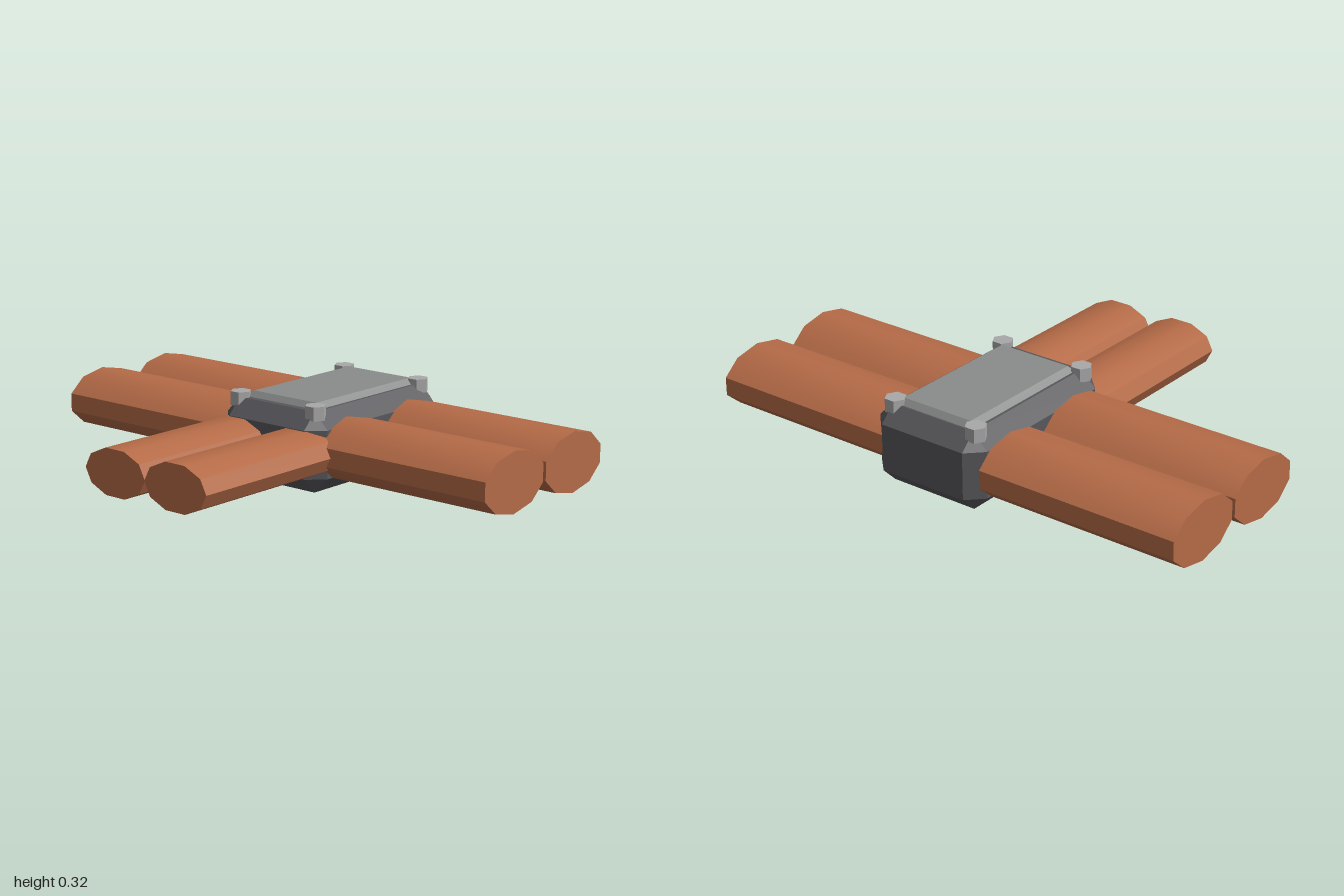
import * as THREE from 'three';
import { toCreasedNormals } from 'three/addons/utils/BufferGeometryUtils.js';
import { ConvexGeometry } from 'three/addons/geometries/ConvexGeometry.js';

const mat = (name, color) => {
  const m = new THREE.MeshStandardMaterial({ color });
  m.name = name;
  return m;
};

// Box with every edge and corner cut off by c
function chamferedBox(w, h, d, c) {
  const points = [];
  for (const sx of [-1, 1]) for (const sy of [-1, 1]) for (const sz of [-1, 1]) {
    const x = w / 2, y = h / 2, z = d / 2;
    points.push(
      new THREE.Vector3(sx * x, sy * (y - c), sz * (z - c)),
      new THREE.Vector3(sx * (x - c), sy * y, sz * (z - c)),
      new THREE.Vector3(sx * (x - c), sy * (y - c), sz * z));
  }
  return new ConvexGeometry(points);
}

// Flattened ten-sided bar lying along z
function bar(rx, ry, length, startAngle) {
  const g = new THREE.CylinderGeometry(1, 1, length, 10, 1, false, startAngle);
  g.rotateX(Math.PI / 2).scale(rx, ry, 1);
  return toCreasedNormals(g, 0.58);
}

export function createModel() {
  const group = new THREE.Group();
  const copper = mat('copper', 0xb56b47);
  const darkGrey = mat('darkGrey', 0x58585c);
  const midGrey = mat('midGrey', 0x8a8c8c);
  const lightGrey = mat('lightGrey', 0xa8a8a8);

  const add = (name, geometry, material, x, y, z) => {
    const mesh = new THREE.Mesh(geometry, material);
    mesh.name = name;
    mesh.position.set(x, y, z);
    group.add(mesh);
    return mesh;
  };

  // Junction housing
  add('housing', chamferedBox(0.74, 0.3, 0.48, 0.06), darkGrey, 0.31, 0.15, 0.04);

  // Bevelled cover plate: tapered four-sided block
  const plate = new THREE.CylinderGeometry(Math.SQRT1_2, Math.SQRT1_2, 0.022, 4, 1, false, Math.PI / 4).toNonIndexed();
  const p = plate.attributes.position;
  for (let i = 0; i < p.count; i++) {
    const inset = p.getY(i) > 0 ? 0.02 : 0;
    p.setX(i, Math.sign(p.getX(i)) * (0.295 - inset));
    p.setZ(i, Math.sign(p.getZ(i)) * (0.17 - inset));
  }
  plate.computeVertexNormals();
  add('coverPlate', plate, midGrey, 0.32, 0.31, 0.04);

  // Hexagonal corner bolts
  const bolt = toCreasedNormals(new THREE.CylinderGeometry(0.04, 0.04, 0.052, 6), 0.5);
  for (const x of [0.01, 0.61]) for (const z of [-0.145, 0.215]) {
    add('bolt', bolt, lightGrey, x, 0.296, z);
  }

  // Large bars, two running front and two running back
  const largeBar = bar(0.18, 0.113, 0.8, 0);
  for (const x of [0.134, 0.493]) {
    add('frontBar', largeBar, copper, x, 0.152, 0.6);
    add('backBar', largeBar, copper, x, 0.152, -0.6);
  }

  // Small bars leaving through the side
  const smallBar = bar(0.145, 0.09, 0.685, Math.PI / 2).rotateY(Math.PI / 2);
  for (const z of [-0.107, 0.18]) add('sideBar', smallBar, copper, -0.3425, 0.152, z);

  return group;
}
